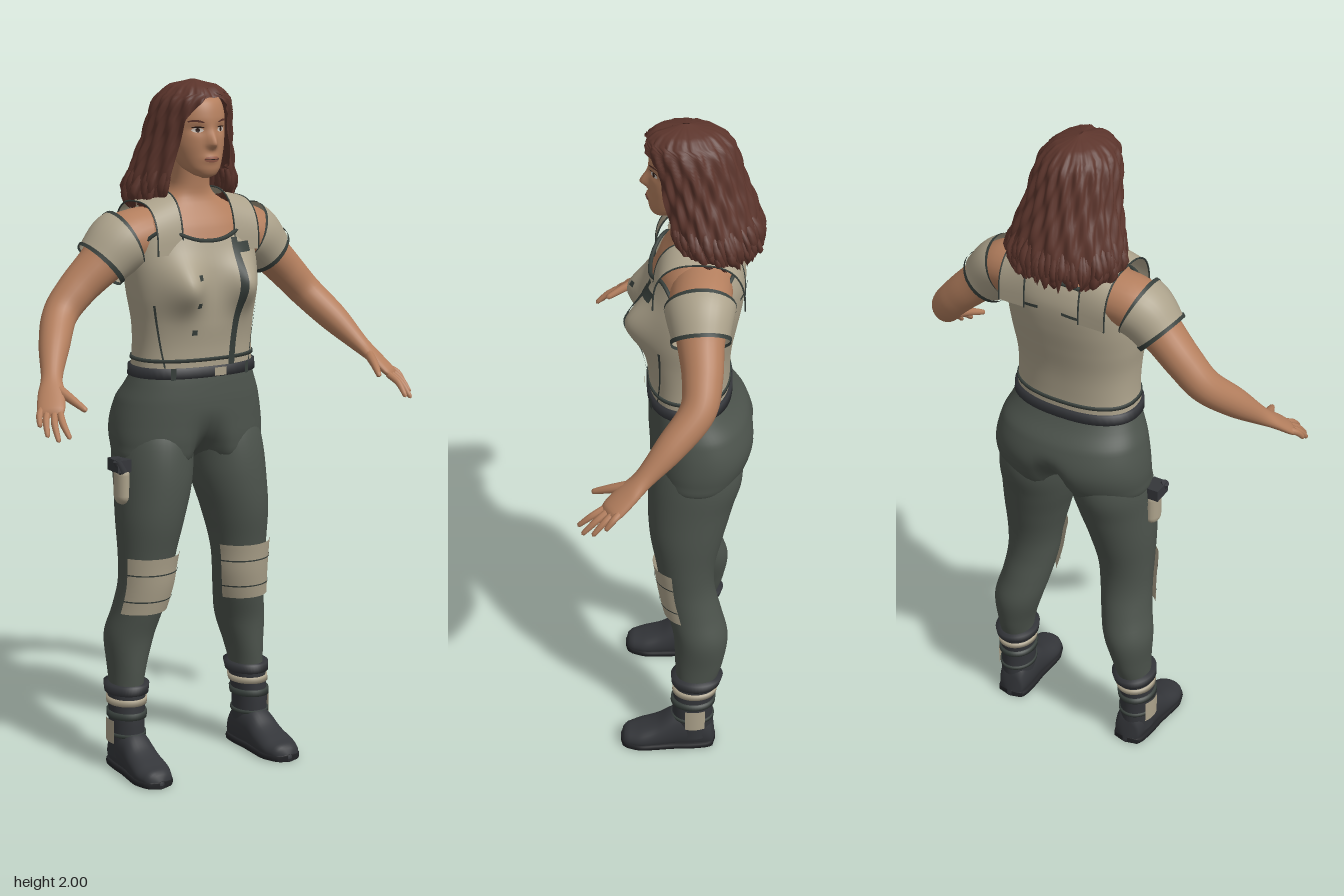
import * as THREE from 'three';
import { mergeGeometries } from 'three/addons/utils/BufferGeometryUtils.js';

const mat = (name, color) => Object.assign(new THREE.MeshStandardMaterial({ color, side: THREE.DoubleSide }), { name });
const V = (...p) => new THREE.Vector3(...p);
const TAU = Math.PI * 2;
const bump = (d, s) => Math.exp(-((d / s) ** 2));
const clamp = THREE.MathUtils.clamp;

// Smooth lookup in a table whose first column is an ascending key
function at(rows, k) {
  let i = 0;
  while (i < rows.length - 2 && k > rows[i + 1][0]) i++;
  const [a, b, c, d] = [-1, 0, 1, 2].map(n => rows[clamp(i + n, 0, rows.length - 1)]);
  const t = clamp((k - b[0]) / (c[0] - b[0]), 0, 1);
  return b.map((_, n) => 0.5 * (2 * b[n] + (c[n] - a[n]) * t + (2 * a[n] - 5 * b[n] + 4 * c[n] - d[n]) * t * t
    + (3 * b[n] - a[n] - 3 * c[n] + d[n]) * t ** 3));
}

// Grid surface from a function of u (wraps when closed) and v
function surface(fn, nu, nv, closed = true) {
  const pos = [], idx = [], cols = closed ? nu : nu + 1;
  for (let j = 0; j <= nv; j++) for (let i = 0; i < cols; i++) pos.push(...fn(i / nu, j / nv).toArray());
  for (let j = 0; j < nv; j++) for (let i = 0; i < nu; i++) {
    const a = j * cols + i, b = j * cols + (i + 1) % cols;
    idx.push(a, b, a + cols, b, b + cols, a + cols);
  }
  const g = new THREE.BufferGeometry();
  g.setAttribute('position', new THREE.Float32BufferAttribute(pos, 3));
  g.setIndex(idx);
  g.computeVertexNormals();
  return g;
}

// Horizontal cross-section; rows are [y, centreX, halfWidth, zFront, zBack]
function ring(rows, y, a, off = 0, e = 1) {
  const [, cx, rx, zf, zb] = at(rows, y), s = Math.sin(a), c = Math.cos(a);
  return V(cx + (rx + off) * Math.sign(s) * Math.abs(s) ** e, y,
    (zf + zb) / 2 + ((zf - zb) / 2 + off) * Math.sign(c) * Math.abs(c) ** e);
}
const loft = (fn, y0, y1, nu, nv) => surface((u, v) => fn(u * TAU, y0 + (y1 - y0) * v, 0), nu, nv);
const band = (fn, y0, y1, off) => surface((u, v) => {
  const k = Math.round(v * 3);
  return fn(u * TAU, k < 2 ? y0 : y1, k % 3 ? off : -0.01);
}, 48, 3);

// Limb along a path; rows are [t, x, y, z, radiusA, radiusB], B lying along ref
function limbPoint(rows, t, a, off, ref) {
  const p = at(rows, t), q = at(rows, t + 0.02), o = at(rows, t - 0.02);
  const T = V(q[1] - o[1], q[2] - o[2], q[3] - o[3]).normalize();
  const B = ref.clone().addScaledVector(T, -ref.dot(T)).normalize(), A = B.clone().cross(T);
  return V(p[1], p[2], p[3]).addScaledVector(A, (p[4] + off) * Math.cos(a)).addScaledVector(B, (p[5] + off) * Math.sin(a));
}
const limb = (rows, t0, t1, off, ref, nu, nv) =>
  surface((u, v) => limbPoint(rows, t0 + (t1 - t0) * v, u * TAU, off, ref), nu, nv);

// Thin patch laid over a surface z = fn(x, y), rectangular or almond shaped
const patch = (fn, cx, cy, w, h, almond = false) => surface((u, v) => {
  const s = 2 * u - 1, k = almond ? Math.sqrt(Math.max(0, 1 - s * s)) : 1;
  return fn(cx + s * w / 2, cy + (v - 0.5) * h * k);
}, 12, 6, false);

const BODY = [[1.17, 0, .18, .065, -.15], [1.25, 0, .174, .07, -.15], [1.32, 0, .176, .08, -.155], [1.4, 0, .187, .085, -.17],
  [1.48, 0, .192, .08, -.185], [1.55, 0, .188, .062, -.19], [1.6, 0, .175, .045, -.178], [1.64, 0, .14, .02, -.155],
  [1.67, 0, .085, .005, -.13], [1.7, 0, .06, .005, -.112], [1.78, 0, .056, .015, -.1]];
const HEAD = [[1.728, 0, .008, .045, .025], [1.737, 0, .032, .062, 0], [1.755, 0, .052, .07, -.05], [1.785, 0, .067, .071, -.09],
  [1.82, 0, .077, .071, -.11], [1.86, 0, .082, .069, -.125], [1.9, 0, .083, .069, -.13], [1.94, 0, .075, .056, -.125],
  [1.97, 0, .05, .02, -.1], [1.985, 0, .004, -.03, -.05]];
const HAIR = [[1.6, 0, .125, -.06, -.225], [1.66, 0, .155, 0, -.235], [1.72, 0, .158, .03, -.232], [1.78, 0, .143, .045, -.215],
  [1.84, 0, .125, .06, -.192], [1.9, 0, .114, .075, -.173], [1.95, 0, .097, .083, -.152], [1.985, 0, .06, .05, -.11], [2, 0, .003, -.02, -.04]];
const LEG = [[.15, .212, .042, -.005, -.11], [.22, .208, .045, -.01, -.12], [.3, .202, .053, -.005, -.145], [.4, .19, .072, 0, -.16],
  [.48, .172, .074, .02, -.14], [.56, .16, .077, .038, -.12], [.64, .155, .083, .05, -.12], [.75, .143, .098, .07, -.145],
  [.85, .127, .11, .075, -.172], [.93, .119, .114, .07, -.195], [1, .11, .11, .055, -.19], [1.08, .1, .085, .02, -.16]];
const HIPS = [[.9, 0, .12, 0, -.12], [.92, 0, .222, .06, -.185], [.97, 0, .236, .073, -.218], [1.03, 0, .234, .075, -.23],
  [1.1, 0, .219, .075, -.21], [1.15, 0, .197, .072, -.172], [1.19, 0, .182, .068, -.152]];
const ARM = [[0, .12, 1.57, -.075, .075, .085], [1, .21, 1.55, -.072, .075, .085], [2, .28, 1.49, -.075, .06, .066],
  [3, .35, 1.425, -.08, .053, .056], [4, .41, 1.36, -.068, .048, .05], [5, .465, 1.285, 0, .042, .043],
  [6, .51, 1.215, .07, .026, .03], [7, .535, 1.178, .115, .018, .038], [8, .56, 1.138, .16, .013, .037], [8.2, .565, 1.13, .168, .002, .02]];

const body = (a, y, off = 0) => {
  const p = ring(BODY, y, a, off, 0.85);
  p.z += 0.06 * bump(Math.abs(p.x) - 0.1, 0.055) * bump(y - 1.43, 0.07) * Math.sqrt(Math.max(0, Math.cos(a)));
  return p;
};
const head = (a, y, off = 0) => {
  const p = ring(HEAD, y, a, off);
  if (Math.cos(a) > 0) p.z += 0.024 * bump(p.x, 0.013) * bump(y - 1.825, y > 1.825 ? 0.032 : 0.012)
    - 0.007 * bump(Math.abs(p.x) - 0.037, 0.02) * bump(y - 1.865, 0.014) + 0.006 * bump(p.x, 0.025) * bump(y - 1.783, 0.012);
  return p;
};
const hips = (a, y, off = 0) => {
  const p = ring(HIPS, y, a, off, 0.9), k = 0.85 * clamp((1.08 - y) / 0.16, 0, 1) ** 2;
  p.z = -0.06 + (p.z + 0.06) * (1 - k * bump(p.x, 0.04));
  return p;
};
const leg = (a, y, off = 0) => ring(LEG, y, a, off);
const angleAt = (x, rx, e) => Math.asin(Math.sign(x) * Math.min(1, Math.abs(x) / rx) ** (1 / e));
const onFace = off => (x, y) => head(angleAt(x, at(HEAD, y)[2], 1), y).add(V(0, 0, off));
const onChest = off => (x, y) => body(angleAt(x, at(BODY, y)[2], 0.85), y, off);
const onBack = off => (x, y) => body(Math.PI - angleAt(-x, at(BODY, y)[2], 0.85), y, off);

export function createModel() {
  const model = new THREE.Group();
  const skin = mat('skin', 0xb47f5e), hairMat = mat('hair', 0x5c352c), cloth = mat('beige cloth', 0xaca28b),
    trouser = mat('green trousers', 0x4c534c), trim = mat('dark trim', 0x38403c), boot = mat('boots', 0x34363a),
    white = mat('eye white', 0xcfc4ba), dark = mat('iris', 0x2c1c17), lip = mat('lips', 0x985e4c), soleMat = mat('sole', 0x222326);
  const add = (name, geo, material) => {
    const m = new THREE.Mesh(geo, material);
    m.name = name;
    model.add(m);
  };
  const pair = (name, geo, material) => {
    add(name + 'Left', geo, material);
    const g = geo.clone().scale(-1, 1, 1), ix = g.index.array;
    for (let i = 0; i < ix.length; i += 3) [ix[i], ix[i + 1]] = [ix[i + 1], ix[i]];
    add(name + 'Right', g, material);
  };

  // Head and face
  add('head', loft(head, 1.728, 1.985, 64, 60), skin);
  pair('eye', patch(onFace(.002), .037, 1.864, .03, .013, true), white);
  pair('iris', patch(onFace(.0035), .037, 1.864, .011, .012, true), dark);
  pair('eyelid', patch(onFace(.003), .037, 1.872, .034, .004, true), dark);
  pair('brow', patch((x, y) => onFace(.002)(x, y + .006 * bump(x - .045, .02)), .042, 1.884, .042, .006, true), hairMat);
  add('lips', patch(onFace(.0015), 0, 1.783, .05, .017, true), lip);
  add('mouthLine', patch(onFace(.0025), 0, 1.783, .046, .002), dark);

  // Hair: parted shell open around the face, with loose locks at the hem
  const part = y => 0.66 * Math.sqrt(clamp((1.962 - y) / 0.07, 0, 1));
  const hair = (s, y, off = 0) => {
    const g = part(y), a = g + s * (TAU - 2 * g);
    const wave = .004 * Math.sin(a * 17 + y * 30) + .003 * Math.sin(a * 31 - y * 45);
    const p = ring(HAIR, y, a, off + wave * clamp((2 - y) / .06, 0, 1));
    p.y -= .012 * bump(p.x, .012) * (y > 1.95 ? clamp(p.z / .08, 0, 1) : 0);
    return p;
  };
  add('hair', surface((u, v) => hair(u, 1.65 + .02 * Math.sin(u * 90) + (.35 - .02 * Math.sin(u * 90)) * v), 140, 48, false), hairMat);
  let seed = 7;
  const rnd = () => (seed = (seed * 16807) % 2147483647) / 2147483647;
  const locks = [];
  for (let i = 0; i < 90; i++) {
    const s = (i + rnd()) / 90, y = 1.7 + rnd() * .05, r = .008 + rnd() * .006;
    const pts = [hair(s, y, -.008), hair(s, y - .045, .004 * rnd()), hair(s + .01 * (rnd() - .5), 1.625 + rnd() * .035, .012 * (rnd() - .5))];
    locks.push(limb(pts.map((p, n) => [n, p.x, p.y, p.z, r * [.7, 1, .08][n], r * [.7, 1, .08][n]]), 0, 2, 0, V(.3, 0, 1), 6, 6));
  }
  add('hairLocks', mergeGeometries(locks), hairMat);

  // Neck, shoulders and arms
  add('upperBody', loft((a, y) => body(a, y, -.004), 1.45, 1.78, 56, 24), skin);
  const across = V(-.5, -.2, .8);
  pair('arm', limb(ARM, 0, 8.2, 0, across, 24, 50), skin);
  const knuckles = V(.555, 1.143, .152), w = across.clone().normalize();
  const fingers = [[.028, .55, 1.083, .248], [.01, .577, 1.075, .236], [-.01, .595, 1.085, .207], [-.027, .6, 1.107, .172]].map(([o, x, y, z]) => {
    const b = knuckles.clone().addScaledVector(w, o), m = b.clone().lerp(V(x, y, z), .5).add(V(.006, .006, 0));
    return limb([[0, b.x, b.y, b.z, .01, .01], [1, m.x, m.y, m.z, .0095, .0095], [1.9, x, y, z, .006, .006], [2, x, y - .002, z + .002, .001, .001]], 0, 2, 0, V(1, 0, .3), 8, 12);
  });
  fingers.push(limb([[0, .517, 1.195, .1, .016, .016], [1, .498, 1.168, .165, .012, .012], [1.9, .481, 1.145, .212, .007, .007],
    [2, .48, 1.144, .214, .001, .001]], 0, 2, 0, V(1, 0, .3), 10, 12));
  pair('fingers', mergeGeometries(fingers), skin);

  // Bodice with shaped top edge, sleeves and shoulder straps
  const topEdge = a => {
    const c = Math.cos(a);
    return c > 0 ? 1.5 + .055 * c + .045 * Math.sin(2 * a) ** 2 : 1.5 + .12 * Math.sqrt(-c);
  };
  add('bodice', surface((u, v) => body(u * TAU, 1.185 + (topEdge(u * TAU) - 1.185) * v, .006), 96, 44), cloth);
  const edge = Array.from({ length: 80 }, (_, i) => body(i / 80 * TAU, topEdge(i / 80 * TAU), .007));
  add('bodiceTrim', new THREE.TubeGeometry(new THREE.CatmullRomCurve3(edge, true), 160, .006, 6, true), trim);
  pair('sleeve', limb(ARM, .95, 1.95, .013, across, 32, 12), cloth);
  pair('sleeveHem', limb(ARM, 1.88, 2.02, .017, across, 32, 2), trim);
  pair('sleeveSeam', limb(ARM, .92, .98, .014, across, 32, 1), trim);
  const strap = (x, f) => {
    const a = f * Math.PI, c = Math.cos(a), top = 1.69 - .35 * (x - .085);
    return V(x, 1.52 + (top - 1.52) * Math.sin(a) ** .7, -.068 + .125 * Math.sign(c) * Math.abs(c) ** .75);
  };
  pair('strap', surface((u, v) => strap(.085 + .08 * u, v), 6, 28, false), cloth);
  pair('strapEdge', mergeGeometries([.085, .165].map(x =>
    new THREE.TubeGeometry(new THREE.CatmullRomCurve3(Array.from({ length: 15 }, (_, i) => strap(x, i / 14))), 30, .0025, 5))), trim);

  // Bodice details
  add('placket', surface((u, v) => onChest(.011)(.05 + .02 * u + .012 * v, 1.19 + .37 * v), 3, 40, false), trim);
  add('chestTab', patch(onChest(.013), .09, 1.532, .06, .028), trim);
  [1.46, 1.38, 1.3].forEach(y => add('button', patch(onChest(.011), -.06, y, .015, .015), trim));
  pair('frontSeam', surface((u, v) => onChest(.009)(.13 + .004 * u + .03 * v, 1.2 + .18 * v), 1, 16, false), trim);
  pair('backVent', patch((x, y) => onBack(.01)(x, y + .15 * (.07 - x)), .075, 1.535, .08, .009), trim);
  add('hemTrim', band(body, 1.214, 1.224, .01), trim);
  add('belt', band(body, 1.168, 1.198, .014), boot);
  add('buckle', patch(onChest(.019), .02, 1.183, .036, .024), cloth);
  pair('beltLoop', patch(onChest(.018), .11, 1.183, .012, .034), trim);

  // Trousers and knee pads
  add('hips', loft(hips, .9, 1.19, 72, 32), trouser);
  pair('trouserLeg', loft(leg, .18, 1.08, 40, 54), trouser);
  const pad = (y0, y1, off) => surface((u, v) => leg(-1.15 + 2.3 * u, y0 + (y1 - y0) * v, off), 24, 12, false);
  pair('kneePad', pad(.48, .65, .01), cloth);
  pair('kneeSeam', mergeGeometries([pad(.517, .521, .012), pad(.598, .602, .012)]), trim);

  // Thigh pouch on the right leg
  const pouch = new THREE.CapsuleGeometry(.027, .06, 6, 16).scale(.8, 1, 1.1).translate(-.238, .86, -.03);
  add('pouch', pouch, cloth);
  add('pouchGrip', new THREE.BoxGeometry(.045, .035, .06).translate(-.245, .92, -.03), boot);
  add('pouchStrap', new THREE.CylinderGeometry(.012, .014, .04, 10).rotateZ(.5).translate(-.255, .92, -.01), boot);

  // Boots
  pair('bootShaft', loft((a, y) => leg(a, y, .008), .04, .235, 32, 12), boot);
  pair('bootCuff', band(leg, .232, .258, .016), boot);
  pair('bootStripe', band(leg, .2, .218, .013), cloth);
  pair('bootStrap', mergeGeometries([band(leg, .16, .178, .014), band(leg, .105, .115, .012)]), trim);
  pair('bootPanel', surface((u, v) => leg(1.25 + .9 * u, .085 + .07 * v, .016), 8, 4, false), cloth);
  const FOOT = [[-.126, .004, .01], [-.122, .034, .07], [-.1, .045, .11], [-.05, .05, .13], [0, .05, .118], [.05, .054, .083],
    [.1, .056, .062], [.14, .043, .05], [.155, .028, .038], [.16, .003, .015]];
  const foot = (z, a, grow, flat) => {
    const [, hw, h] = at(FOOT, z), c = Math.cos(a), s = Math.sin(a);
    const y = flat ? .011 * (1 + Math.sign(s) * Math.abs(s) ** .3) : Math.max(.01, h * (.45 + .55 * s));
    return V(.212 + .04 * z + (hw + grow) * Math.sign(c) * Math.abs(c) ** .8, y, z);
  };
  pair('bootFoot', surface((u, v) => foot(-.126 + .286 * v, u * TAU, 0, false), 32, 40), boot);
  pair('sole', surface((u, v) => foot(-.126 + .286 * v, u * TAU, .004, true), 24, 40), soleMat);

  return model;
}
